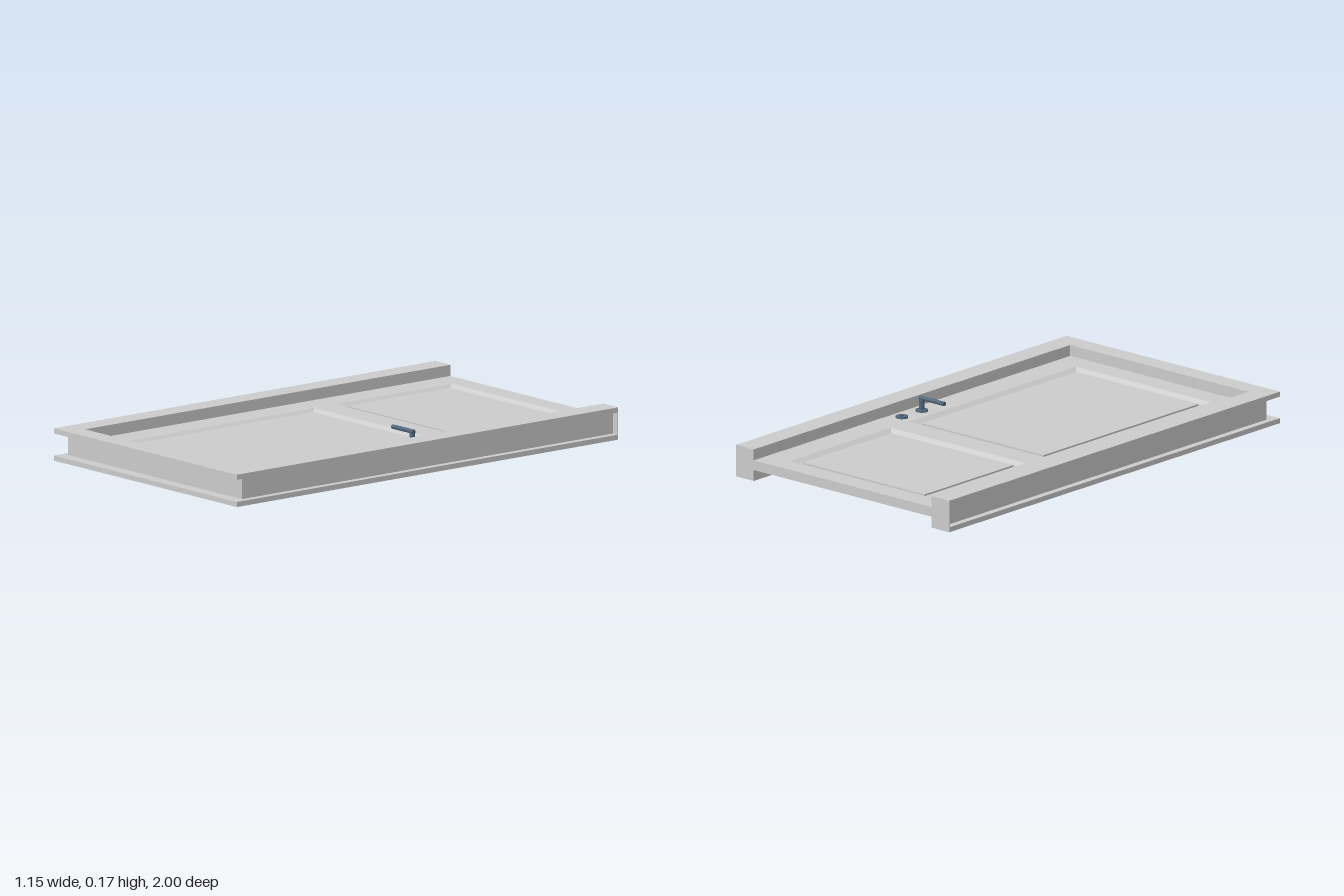
import * as THREE from 'three';

const MID = 0.0885;       // centre plane of the lying door
const FRAME_H = 0.0665;   // half height of the frame
const LEAF_H = 0.0205;    // half thickness of the leaf
const DEPTH = 0.014;      // depth of the panel recess
const grey = new THREE.MeshStandardMaterial({ color: 0xcccccc, flatShading: true });
const steel = new THREE.MeshStandardMaterial({ color: 0x4f667c });

function add(parent, name, geometry, material, x = 0, y = 0, z = 0) {
  const mesh = new THREE.Mesh(geometry, material);
  mesh.name = name;
  mesh.position.set(x, y, z);
  parent.add(mesh);
  return mesh;
}

// Shape in (x, z), extruded upwards from y0 to y1
function slab(shape, y0, y1, curveSegments = 16) {
  const g = new THREE.ExtrudeGeometry(shape, { depth: y1 - y0, bevelEnabled: false, curveSegments });
  return g.rotateX(Math.PI / 2).translate(0, y1, 0);
}

const polygon = (pts) => new THREE.Shape(pts.map(([x, z]) => new THREE.Vector2(x, z)));
const corners = ([x, z0, z1], inset = 0) => [
  [-x + inset, z0 + inset], [x - inset, z0 + inset], [x - inset, z1 - inset], [-x + inset, z1 - inset]];

// U-shaped outline, open at z = -1
const frameShape = (x, z) => polygon([
  [-x, -1], [-0.48, -1], [-0.48, 0.915], [0.48, 0.915], [0.48, -1], [x, -1], [x, z], [-x, z]]);

// Four sloping faces from the leaf surface down to the recess floor
function slopes(rect, inset, yTop, yLow) {
  const a = corners(rect), b = corners(rect, inset), pos = [];
  for (let i = 0; i < 4; i++) {
    const j = (i + 1) % 4;
    const p = [a[i][0], yTop, a[i][1]], q = [a[j][0], yTop, a[j][1]];
    const r = [b[j][0], yLow, b[j][1]], s = [b[i][0], yLow, b[i][1]];
    pos.push(...p, ...r, ...q, ...p, ...s, ...r);
  }
  const g = new THREE.BufferGeometry();
  g.setAttribute('position', new THREE.Float32BufferAttribute(pos, 3));
  g.computeVertexNormals();
  return g;
}

// One face of the leaf: stiles and rails around two raised panels
function leafFace() {
  const face = new THREE.Group();
  const rects = [[0.365, -0.91, -0.3], [0.365, -0.19, 0.82]];
  const floor = LEAF_H - DEPTH;
  const stiles = polygon([[-0.48, -1], [0.48, -1], [0.48, 0.915], [-0.48, 0.915]]);
  for (const rect of rects) {
    stiles.holes.push(polygon(corners(rect)));
    add(face, 'panelBevel', slopes(rect, 0.022, LEAF_H, floor), grey);
    add(face, 'raisedPanel', slab(polygon(corners(rect, 0.036)), floor, floor + 0.007), grey);
  }
  add(face, 'stilesAndRails', slab(stiles, floor, LEAF_H), grey);
  return face;
}

// Lever handle with its rosette and a keyhole plate, standing on y = 0
function handleSet() {
  const set = new THREE.Group();
  const top = MID + 0.075 - (MID + LEAF_H); // lever axis above the leaf
  add(set, 'rosette', new THREE.CylinderGeometry(0.025, 0.026, 0.007, 32), steel, 0, 0.0035, 0);
  add(set, 'spindle', new THREE.CylinderGeometry(0.0105, 0.0105, top, 20), steel, 0, top / 2, 0);
  const lever = add(set, 'lever', new THREE.CylinderGeometry(0.009, 0.009, 0.133, 20), steel, -0.0565, top, 0);
  lever.rotation.z = Math.PI / 2;
  return set;
}

function keyPlate() {
  const plate = new THREE.Group();
  const disc = new THREE.Shape().absarc(0, 0, 0.025, 0, Math.PI * 2);
  const hole = new THREE.Path();
  hole.absarc(0, -0.004, 0.006, Math.PI * 0.7, Math.PI * 2.3);
  hole.lineTo(0.0035, 0.013);
  hole.lineTo(-0.0035, 0.013);
  hole.closePath();
  disc.holes.push(hole);
  add(plate, 'keyholePlate', slab(disc, 0, 0.007), steel);
  return plate;
}

export function createModel() {
  const model = new THREE.Group();
  model.name = 'panelDoor';

  // Frame: jamb core between an upper and a lower casing
  const frame = new THREE.Group();
  frame.name = 'frame';
  model.add(frame);
  const inner = FRAME_H - 0.021;
  add(frame, 'jamb', slab(frameShape(0.547, 0.95), -inner, inner), grey);
  add(frame, 'upperCasing', slab(frameShape(0.575, 1), inner, FRAME_H), grey);
  add(frame, 'lowerCasing', slab(frameShape(0.575, 1), -FRAME_H, -inner), grey);
  for (const side of [-1, 1]) {
    add(frame, 'postEnd', new THREE.BoxGeometry(0.095, 2 * inner, 0.004), grey, side * 0.5275, 0, -0.998);
  }
  frame.position.y = MID;

  // Leaf: core board with a panelled face on each side
  const leaf = new THREE.Group();
  leaf.name = 'leaf';
  leaf.position.y = MID;
  model.add(leaf);
  add(leaf, 'leafCore', new THREE.BoxGeometry(0.96, 2 * (LEAF_H - DEPTH), 1.915), grey, 0, 0, -0.0425);
  for (const flip of [0, Math.PI]) {
    const face = leafFace();
    face.name = flip ? 'lowerFace' : 'upperFace';
    face.rotation.z = flip;
    leaf.add(face);

    // Fittings on the same side
    const y = flip ? -LEAF_H : LEAF_H;
    const handle = handleSet();
    handle.name = 'handle';
    handle.position.set(0.425, y, -0.045);
    const plate = keyPlate();
    plate.name = 'lock';
    plate.position.set(0.425, y, -0.165);
    handle.rotation.x = flip;
    plate.rotation.x = flip;
    leaf.add(handle, plate);
  }
  return model;
}
